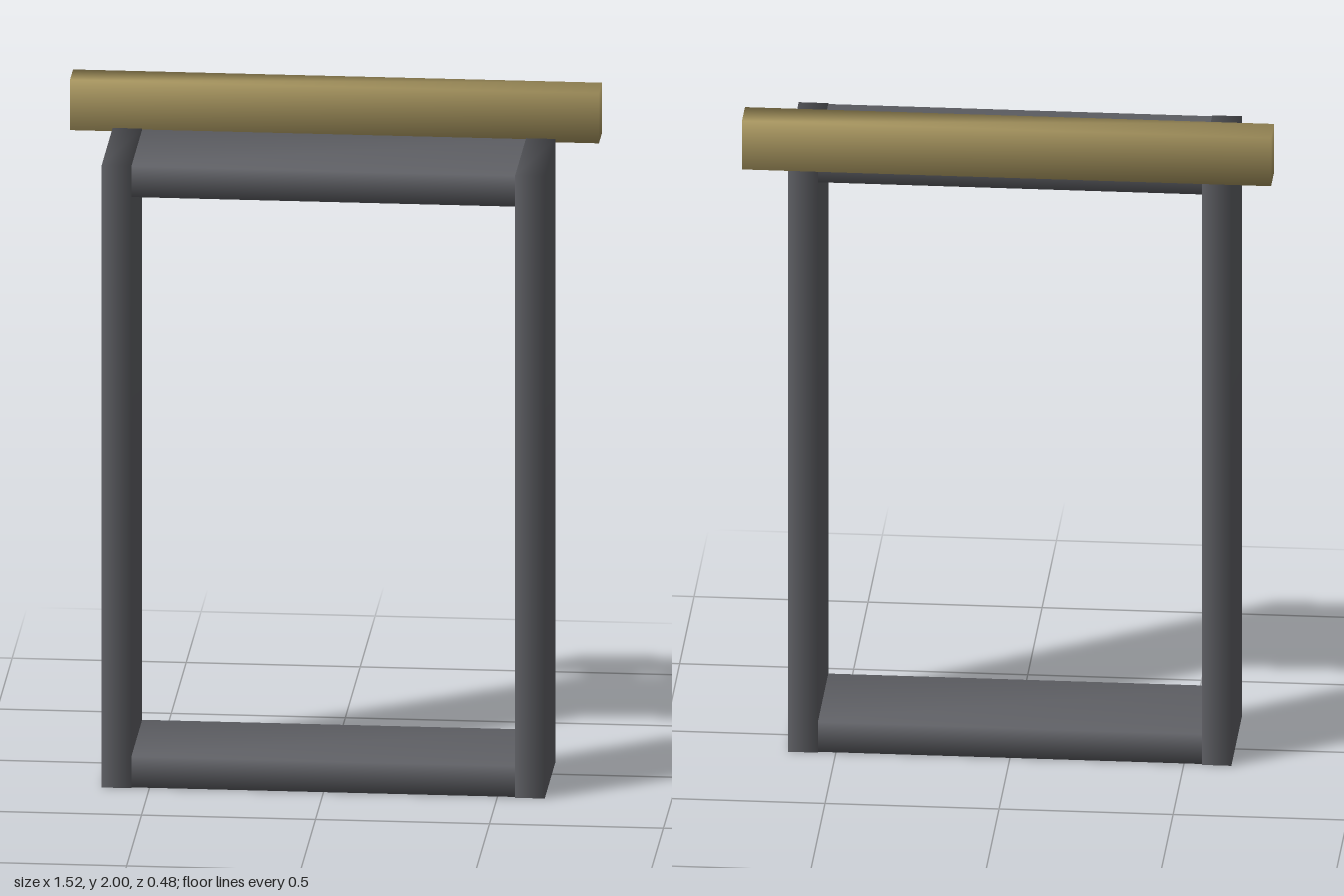
import * as THREE from 'three';
import { mergeVertices } from 'three/addons/utils/BufferGeometryUtils.js';

const frameMaterial = new THREE.MeshStandardMaterial({ color: 0x606166 });
const barMaterial = new THREE.MeshStandardMaterial({ color: 0xa89660 });

// Box with welded corners, so the shading runs softly over its edges
function softBox(name, size, position, material) {
  const box = new THREE.BoxGeometry(...size);
  box.deleteAttribute('normal');
  box.deleteAttribute('uv');
  const geometry = mergeVertices(box);
  geometry.computeVertexNormals();
  const mesh = new THREE.Mesh(geometry, material);
  mesh.name = name;
  mesh.position.set(...position);
  return mesh;
}

export function createModel() {
  const model = new THREE.Group();
  model.name = 'frameWithBar';

  const frameHeight = 1.863, frameDepth = 0.366, frameZ = 0.057;
  const postWidth = 0.085, postX = 0.594, railHeight = 0.092;
  const inset = 0.002; // keeps rail faces just inside the posts

  const frame = new THREE.Group();
  frame.name = 'frame';
  model.add(frame);

  // Upright posts
  for (const [name, side] of [['leftPost', 1], ['rightPost', -1]]) {
    frame.add(softBox(name, [postWidth, frameHeight, frameDepth],
      [side * postX, frameHeight / 2, frameZ], frameMaterial));
  }

  // Top and bottom rails, running through the posts
  const railLength = 2 * postX + postWidth - 2 * inset;
  for (const [name, y] of [
    ['bottomRail', railHeight / 2 + inset],
    ['topRail', frameHeight - railHeight / 2 - inset],
  ]) {
    frame.add(softBox(name, [railLength, railHeight, frameDepth - 2 * inset],
      [0, y, frameZ], frameMaterial));
  }

  // Cross bar behind the top of the frame
  model.add(softBox('crossBar', [1.52, 0.15, 0.104], [0, 1.925, -0.188], barMaterial));

  return model;
}
